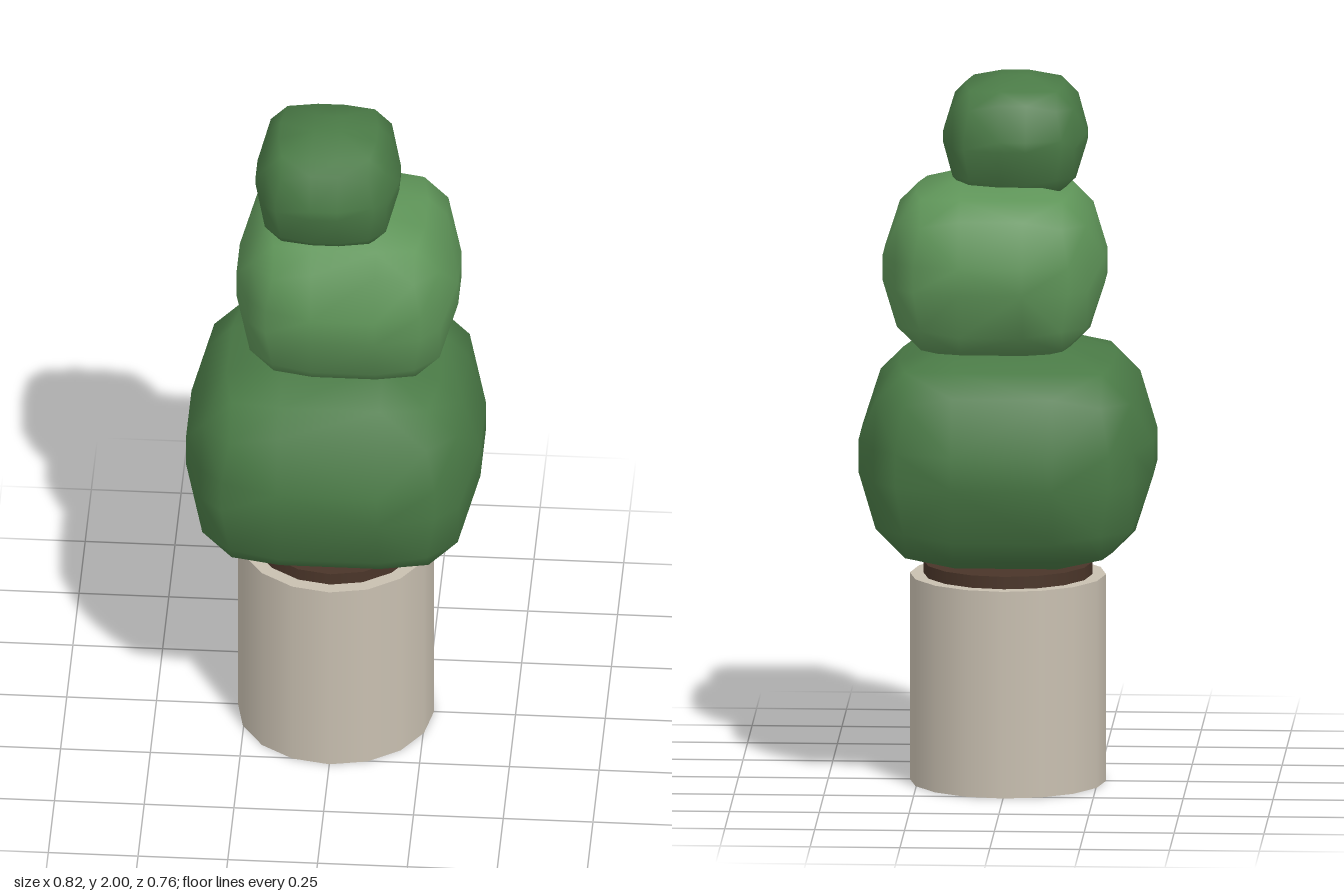
import * as THREE from 'three';
import { ConvexGeometry } from 'three/addons/geometries/ConvexGeometry.js';
import { mergeVertices } from 'three/addons/utils/BufferGeometryUtils.js';

const ORDERS = [[0, 1, 2], [0, 2, 1], [1, 0, 2], [1, 2, 0], [2, 0, 1], [2, 1, 0]];

// Box bevelled twice: flat is the margin left around each face,
// outer and inner are the two margins of the bevelled edge.
function bevelledBox(half, flat, outer, inner) {
  const m = outer + inner;
  const kinds = [
    [0, flat, flat], // faces
    [inner, outer, flat], // edges
    [m / 3, m * 5 / 6, m * 5 / 6], // corners
  ];
  const points = new Map();
  for (const kind of kinds) for (const order of ORDERS) for (let s = 0; s < 8; s++) {
    const p = half.map((h, i) => (h - kind[order[i]]) * (s >> i & 1 ? 1 : -1));
    points.set(p.map(v => v.toFixed(4)).join(), new THREE.Vector3(...p));
  }
  let geometry = new ConvexGeometry([...points.values()]);
  geometry.deleteAttribute('normal');
  geometry = mergeVertices(geometry, 1e-4);
  geometry.computeVertexNormals();
  return geometry;
}

export function createModel() {
  const model = new THREE.Group();
  const add = (name, geometry, color, x, y, z) => {
    const mesh = new THREE.Mesh(geometry, new THREE.MeshStandardMaterial({ color }));
    mesh.name = name;
    mesh.position.set(x, y, z);
    model.add(mesh);
  };

  // Planter and the soil standing slightly proud of it
  add('pot', new THREE.CylinderGeometry(0.273, 0.273, 0.585, 16), 0xc8bfb0, 0, 0.2925, 0);
  add('soil', new THREE.CylinderGeometry(0.235, 0.235, 0.12, 16), 0x4a3529, 0, 0.56, 0);

  // Three stacked clumps of clipped foliage
  add('lowerFoliage', bevelledBox([0.41, 0.317, 0.381], 0.27, 0.113, 0.05), 0x4a7a46, 0, 0.935, 0);
  add('middleFoliage', bevelledBox([0.309, 0.257, 0.291], 0.22, 0.093, 0.041), 0x5e9458, 0.035, 0.1 + 1.365, -0.02);
  add('upperFoliage', bevelledBox([0.2, 0.176, 0.2], 0.162, 0.064, 0.03), 0x4a7a46, -0.02, 1.824, 0.018);

  return model;
}
